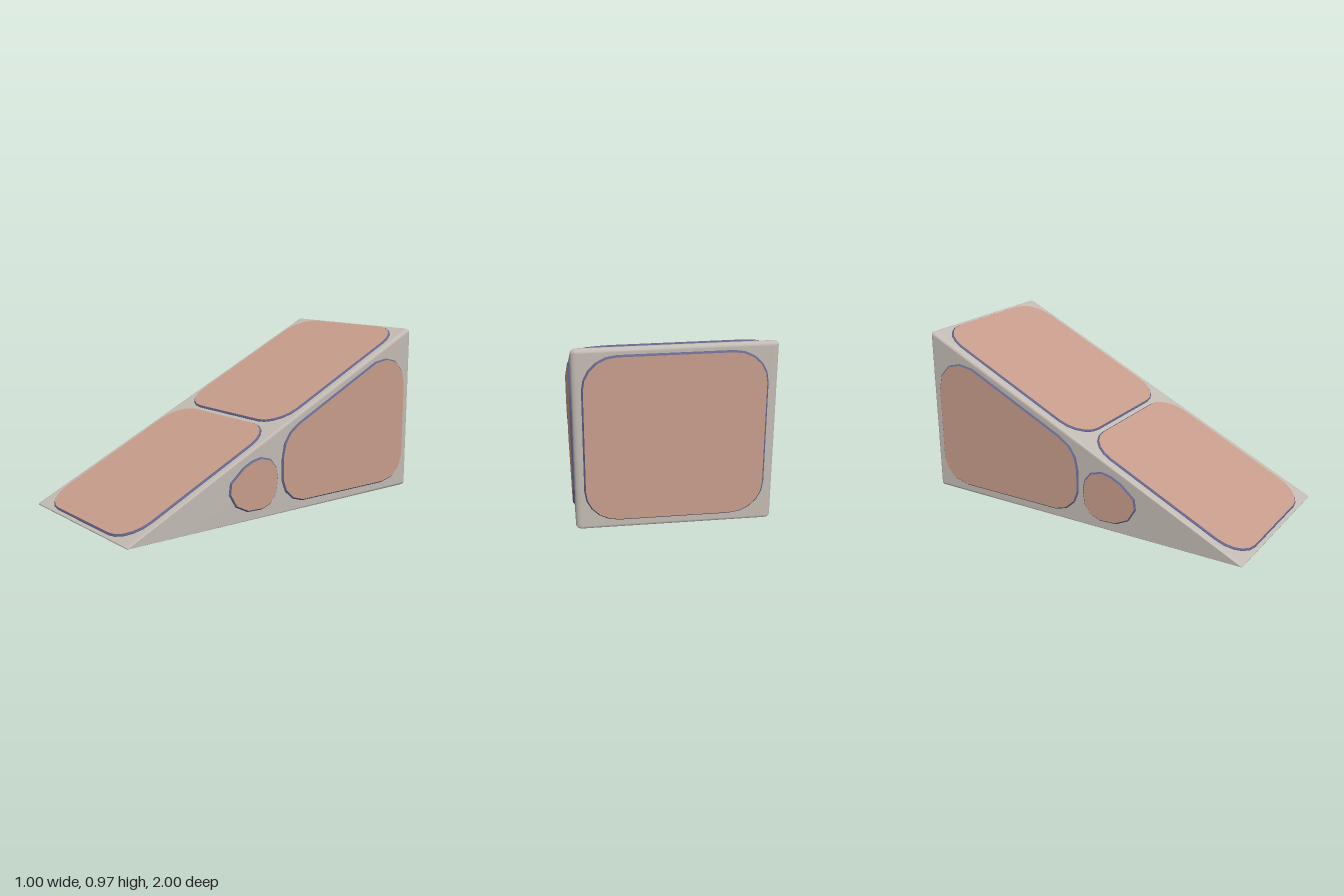
import * as THREE from 'three';
import { ConvexGeometry } from 'three/addons/geometries/ConvexGeometry.js';
import { mergeVertices } from 'three/addons/utils/BufferGeometryUtils.js';

const mat = (name, color) => {
  const m = new THREE.MeshStandardMaterial({ color });
  m.name = name;
  return m;
};

const SLOPE = 0.484;                       // rise per unit of z
const TILT = Math.atan(SLOPE);
const slopeY = z => 0.505 - SLOPE * z;     // height of the ramp surface

// Rounded wedge: hull of small ellipsoids at the six corners
function wedgeGeometry() {
  const corners = [
    [0.032, -0.968, 0.022],                // y, z, radius: bottom back
    [slopeY(-0.97) - 0.022, -0.97, 0.02],  // top back
    [0.017, 0.995, 0.005],                 // front tip
  ];
  const pts = [];
  for (const side of [-1, 1]) for (const [y, z, r] of corners)
    for (let i = 0; i <= 4; i++) {
      const a = i / 4 * Math.PI / 2;
      const n = i === 4 ? 1 : 16;
      for (let j = 0; j < n; j++) {
        const b = j / n * Math.PI * 2;
        pts.push(new THREE.Vector3(
          side * (0.46 + 0.03 * Math.sin(a)),
          y + r * Math.cos(a) * Math.sin(b),
          z + r * Math.cos(a) * Math.cos(b)));
      }
    }
  const hull = new ConvexGeometry(pts);
  hull.deleteAttribute('normal');
  const geo = mergeVertices(hull, 1e-5);
  geo.computeVertexNormals();
  return geo;
}

// Outline of a rectangle with faceted round corners
function roundedRect(w, h, r = 0.17, steps = 5) {
  const pts = [];
  [[1, 1], [-1, 1], [-1, -1], [1, -1]].forEach(([sx, sy], k) => {
    for (let i = 0; i <= steps; i++) {
      const a = (k + i / steps) * Math.PI / 2;
      pts.push([sx * (w / 2 - r) + r * Math.cos(a), sy * (h / 2 - r) + r * Math.sin(a)]);
    }
  });
  return pts;
}

// Side outlines as [z, y]
const LARGE_SIDE = [
  [0.02, 0.2], [0.02, 0.33], [0.005, 0.405], [-0.035, 0.465], [-0.1, 0.51],
  [-0.69, 0.797], [-0.78, 0.81], [-0.86, 0.79], [-0.92, 0.725], [-0.94, 0.64],
  [-0.94, 0.21], [-0.915, 0.135], [-0.86, 0.085], [-0.77, 0.063],
  [-0.13, 0.063], [-0.06, 0.085], [-0.005, 0.135],
];
const SMALL_SIDE = [
  [0.383, 0.18], [0.375, 0.243], [0.29, 0.315], [0.23, 0.343], [0.17, 0.355],
  [0.1, 0.335], [0.06, 0.285], [0.048, 0.22], [0.058, 0.14], [0.1, 0.085],
  [0.16, 0.063], [0.26, 0.067], [0.34, 0.107],
];

export function createModel() {
  const model = new THREE.Group();
  model.name = 'wedgeBlock';
  const shell = mat('warm grey', 0xc2bbb3);
  const face = mat('clay', 0xc79d8b);
  const rim = mat('slate blue', 0x64658a);

  const body = new THREE.Mesh(wedgeGeometry(), shell);
  body.name = 'wedgeBody';
  model.add(body);

  // Raised plate with a chamfered dark rim, standing 0.01 above its surface
  const panel = (name, outline, pos, rx, ry) => {
    const shape = new THREE.Shape(outline.map(p => new THREE.Vector2(...p)));
    const geo = new THREE.ExtrudeGeometry(shape, {
      depth: 0.004, bevelThickness: 0.008, bevelSize: 0.008, bevelOffset: -0.008, bevelSegments: 1,
    });
    geo.translate(0, 0, -0.002);
    const mesh = new THREE.Mesh(geo, [face, rim]);
    mesh.name = name;
    mesh.position.set(...pos);
    mesh.rotation.set(rx, ry, 0);
    model.add(mesh);
  };

  // Ramp and underside panels: [name, back z, front z]
  for (const [name, z0, z1] of [['rear', -0.955, 0.017], ['front', 0.04, 0.983]]) {
    const z = (z0 + z1) / 2;
    panel(name + 'RampPanel', roundedRect(0.89, (z1 - z0) / Math.cos(TILT)),
      [0, slopeY(z), z], TILT - Math.PI / 2, 0);
    panel(name + 'BottomPanel', roundedRect(0.89, z1 - z0 - 0.01), [0, 0.01, z], Math.PI / 2, 0);
  }

  // Back panel
  panel('backPanel', roundedRect(0.89, 0.88), [0, 0.5, -0.99], 0, Math.PI);

  // Side panels, mirrored
  for (const [side, label] of [[1, 'left'], [-1, 'right']]) {
    const flip = pts => pts.map(([z, y]) => [-side * z, y]);
    panel(label + 'LargePanel', flip(LARGE_SIDE), [side * 0.49, 0, 0], 0, side * Math.PI / 2);
    panel(label + 'SmallPanel', flip(SMALL_SIDE), [side * 0.49, 0, 0], 0, side * Math.PI / 2);
  }
  return model;
}
